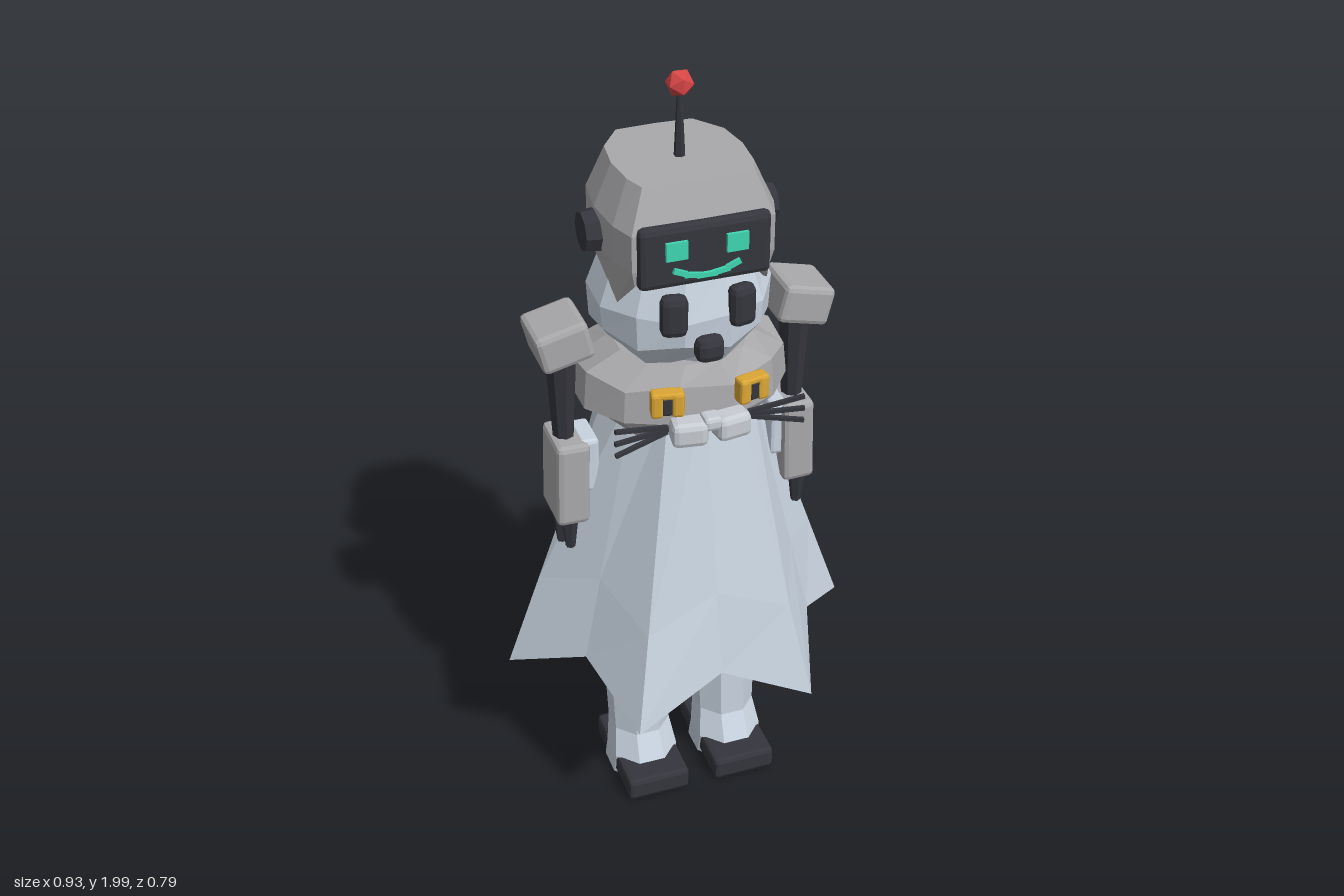
import * as THREE from 'three';
import { RoundedBoxGeometry } from 'three/addons/geometries/RoundedBoxGeometry.js';

function mat(name, color, side = THREE.FrontSide) {
  const m = new THREE.MeshStandardMaterial({ color, flatShading: true, side });
  m.name = name;
  return m;
}

// Skin a list of equal-length rings of points, running upwards
function loft(rings, caps = true) {
  const pos = [], n = rings[0].length;
  const tri = (...ps) => ps.forEach(p => pos.push(p.x, p.y, p.z));
  for (let i = 0; i < rings.length - 1; i++) {
    for (let j = 0; j < n; j++) {
      const k = (j + 1) % n, a = rings[i], b = rings[i + 1];
      tri(a[j], a[k], b[k]);
      tri(a[j], b[k], b[j]);
    }
  }
  if (caps) {
    const mid = r => r.reduce((s, p) => s.add(p), new THREE.Vector3()).divideScalar(n);
    const lo = rings[0], hi = rings[rings.length - 1], cl = mid(lo), ch = mid(hi);
    for (let j = 0; j < n; j++) {
      const k = (j + 1) % n;
      tri(cl, lo[k], lo[j]);
      tri(ch, hi[j], hi[k]);
    }
  }
  const g = new THREE.BufferGeometry();
  g.setAttribute('position', new THREE.Float32BufferAttribute(pos, 3));
  g.computeVertexNormals();
  return g;
}

// Horizontal elliptical ring; zig lifts every second point
function ring(y, cx, cz, rx, rz, n = 8, zig = 0) {
  return Array.from({ length: n }, (_, j) => {
    const a = ((j + 0.5) / n) * Math.PI * 2;
    return new THREE.Vector3(cx + rx * Math.sin(a), y + (j % 2 ? zig : 0), cz + rz * Math.cos(a));
  });
}

export function createModel() {
  const root = new THREE.Group();
  root.name = 'robot';
  const pale = mat('pale blue grey', 0xc8d3df, THREE.DoubleSide);
  const grey = mat('grey', 0xa9a9ac);
  const dark = mat('charcoal', 0x35363d);
  const gold = mat('gold', 0xdba634);
  const red = mat('red', 0xd64646);
  const green = mat('green', 0x3fd6b2);
  const silver = mat('silver', 0xc8cdd3);

  const add = (name, geo, m, x = 0, y = 0, z = 0, parent = root) => {
    const o = new THREE.Mesh(geo, m);
    o.name = name;
    o.position.set(x, y, z);
    parent.add(o);
    return o;
  };
  const box = (w, h, d, r = 0.012) => new RoundedBoxGeometry(w, h, d, 1, r);

  // Helmet: half outline [x, z, hem height], mirrored
  const half = [[0, 0.2, 1.58], [0.172, 0.197, 1.56], [0.195, 0.13, 1.49], [0.205, 0.02, 1.55],
    [0.19, -0.09, 1.54], [0.122, -0.183, 1.49], [0, -0.188, 1.53]];
  const outline = [...half, ...half.slice(1, -1).reverse().map(([x, z, y]) => [-x, z, y])];
  const helmetRing = (sx, sz, y) => outline.map(([x, z, hem]) => new THREE.Vector3(x * sx, y ?? hem, z * sz));
  add('helmet', loft([helmetRing(0.95, 0.96), helmetRing(1, 1, 1.6), helmetRing(1, 1, 1.69),
    helmetRing(0.78, 0.82, 1.79)]), grey);

  // Lower head and ragged hem
  add('lowerHead', loft([ring(1.31, 0, 0.02, 0.165, 0.17, 12, 0.03), ring(1.38, 0, 0.025, 0.217, 0.21, 12, 0.02),
    ring(1.47, 0, 0.025, 0.222, 0.215, 12, -0.01), ring(1.57, 0, 0.02, 0.18, 0.19, 12)]), pale);

  // Face screen with eyes and mouth
  add('faceScreen', box(0.32, 0.155, 0.05, 0.015), dark, 0, 1.63, 0.19);
  for (const s of [-1, 1]) {
    add('screenEye', new THREE.BoxGeometry(0.052, 0.045, 0.009), green, s * 0.073, 1.65, 0.219);
    add('mouthCorner', new THREE.BoxGeometry(0.036, 0.013, 0.009), green, s * 0.064, 1.594, 0.219).rotation.z = s * 0.4;
    add('mouthSide', new THREE.BoxGeometry(0.042, 0.012, 0.009), green, s * 0.034, 1.583, 0.219).rotation.z = s * 0.15;
  }
  add('mouthMiddle', new THREE.BoxGeometry(0.05, 0.012, 0.009), green, 0, 1.579, 0.219);

  // Ear discs
  for (const s of [-1, 1]) {
    add('earDisc', new THREE.CylinderGeometry(0.048, 0.056, 0.05, 8), dark, s * 0.212, 1.63, 0.02).rotation.z = -s * Math.PI / 2;
  }

  // Antenna
  add('antennaRod', new THREE.CylinderGeometry(0.006, 0.014, 0.17, 6), dark, 0, 1.865, 0.03);
  add('antennaBall', new THREE.IcosahedronGeometry(0.034, 0), red, 0, 1.966, 0.03);

  // Dark patches below the screen
  for (const s of [-1, 1]) add('cheekPlate', box(0.065, 0.105, 0.045, 0.018), dark, s * 0.083, 1.49, 0.227).rotation.y = s * 0.2;
  add('nose', box(0.07, 0.066, 0.05, 0.02), dark, 0, 1.395, 0.237);

  // Shoulder mantle
  add('mantle', loft([ring(1.135, 0, 0.03, 0.215, 0.185, 12, 0.02), ring(1.19, 0, 0.03, 0.27, 0.208, 12),
    ring(1.27, 0, 0.03, 0.262, 0.2, 12, 0.02), ring(1.33, 0, 0.03, 0.17, 0.17, 12)]), grey);

  // Clasps, muzzle and whiskers on the chest
  for (const s of [-1, 1]) {
    const g = new THREE.Group();
    g.name = 'clasp';
    g.position.set(s * 0.106, 1.27, 0.245);
    g.rotation.y = s * 0.2;
    root.add(g);
    for (const t of [-1, 1]) add('claspSide', box(0.03, 0.066, 0.038, 0.008), gold, t * 0.025, 0, 0, g);
    add('claspBar', box(0.03, 0.05, 0.03, 0.006), dark, 0, -0.004, 0, g);
    add('claspTop', box(0.05, 0.016, 0.036, 0.005), gold, 0, 0.025, 0, g);
    add('muzzlePad', box(0.088, 0.064, 0.065, 0.015), silver, s * 0.053, 1.183, 0.248).rotation.y = s * 0.15;
    for (const t of [-1, 0, 1]) {
      const w = add('whisker', new THREE.BoxGeometry(0.14, 0.01, 0.01), dark, s * 0.17, 1.19 + t * 0.02, 0.246);
      w.rotation.set(0, -s * 0.15, s * t * 0.2);
    }
  }
  add('muzzleCentre', box(0.045, 0.035, 0.05, 0.01), silver, 0, 1.205, 0.255);

  // Star-hemmed cape
  const capeRing = t => Array.from({ length: 12 }, (_, j) => {
    const a = j * Math.PI / 6, tip = j % 2;
    const r = THREE.MathUtils.lerp(0.165, tip ? 0.465 : 0.352, t);
    const rz = THREE.MathUtils.lerp(0.2, tip ? 0.447 : 0.347, t);
    return new THREE.Vector3(r * Math.sin(a), 1.25 - t * (tip ? 0.85 : 0.745), rz * Math.cos(a) + 0.02 - t * 0.012);
  });
  add('cape', loft([capeRing(1), capeRing(0.7), capeRing(0)], false), pale);
  // Underside closing the cape at the height of its notches
  add('capeUnderside', new THREE.CircleGeometry(0.345, 6, Math.PI / 6 * 3), pale, 0, 0.51, 0.008).rotation.x = Math.PI / 2;

  // Arms
  for (const s of [-1, 1]) {
    const arm = new THREE.Group();
    arm.name = s > 0 ? 'leftArm' : 'rightArm';
    root.add(arm);
    add('shoulder', box(0.133, 0.1, 0.15, 0.014), grey, s * 0.305, 1.372, 0.03, arm).rotation.z = -s * 0.24;
    add('upperArm', new THREE.CylinderGeometry(0.047, 0.03, 0.26, 8), dark, s * 0.3, 1.2, 0.03, arm).scale.x = 0.85;
    add('forearm', box(0.085, 0.23, 0.145, 0.014), grey, s * 0.297, 0.98, 0.032, arm).rotation.z = s * 0.03;
    add('forearmPlate', box(0.05, 0.15, 0.11, 0.01), pale, s * 0.25, 1.02, 0.032, arm);
    // Fingers and thumb: [x, z, length, radius]
    for (const [x, z, l, r] of [[0.305, 0.075, 0.09, 0.023], [0.32, 0.05, 0.085, 0.022], [0.31, 0, 0.055, 0.014]]) {
      add('finger', new THREE.CylinderGeometry(r, r * 0.55, l, 6), dark, s * x, 0.875 - l / 2, z, arm);
    }
  }

  // Legs and shoes
  for (const s of [-1, 1]) {
    const x = s * 0.122;
    add('upperLeg', loft([ring(0.29, x, 0.035, 0.085, 0.088), ring(0.45, x, 0.033, 0.085, 0.094),
      ring(0.75, x * 0.9, 0.03, 0.085, 0.095)]), grey);
    add('lowerLeg', loft([ring(0, x, 0.055, 0.096, 0.1), ring(0.065, x, 0.07, 0.094, 0.1),
      ring(0.14, x, 0.045, 0.082, 0.085), ring(0.31, x, 0.038, 0.088, 0.088)]), pale);
    add('shoe', box(0.17, 0.064, 0.295, 0.012), dark, x, 0.036, 0.078);
  }

  // Curved tail: [y, z, radius]
  const path = [[0.74, -0.24, 0.062], [0.83, -0.305, 0.07], [0.93, -0.346, 0.07],
    [1.03, -0.332, 0.062], [1.09, -0.298, 0.046], [1.12, -0.245, 0.03]];
  const tail = path.map(([y, z, r], i) => {
    const a = path[Math.max(i - 1, 0)], b = path[Math.min(i + 1, path.length - 1)];
    const t = new THREE.Vector2(b[0] - a[0], b[1] - a[1]).normalize();
    return ring(0, 0, 0, r, r * 0.76, 6).map(p => new THREE.Vector3(p.x, y - t.y * p.z, z + t.x * p.z));
  });
  add('tail', loft(tail), grey);

  return root;
}
